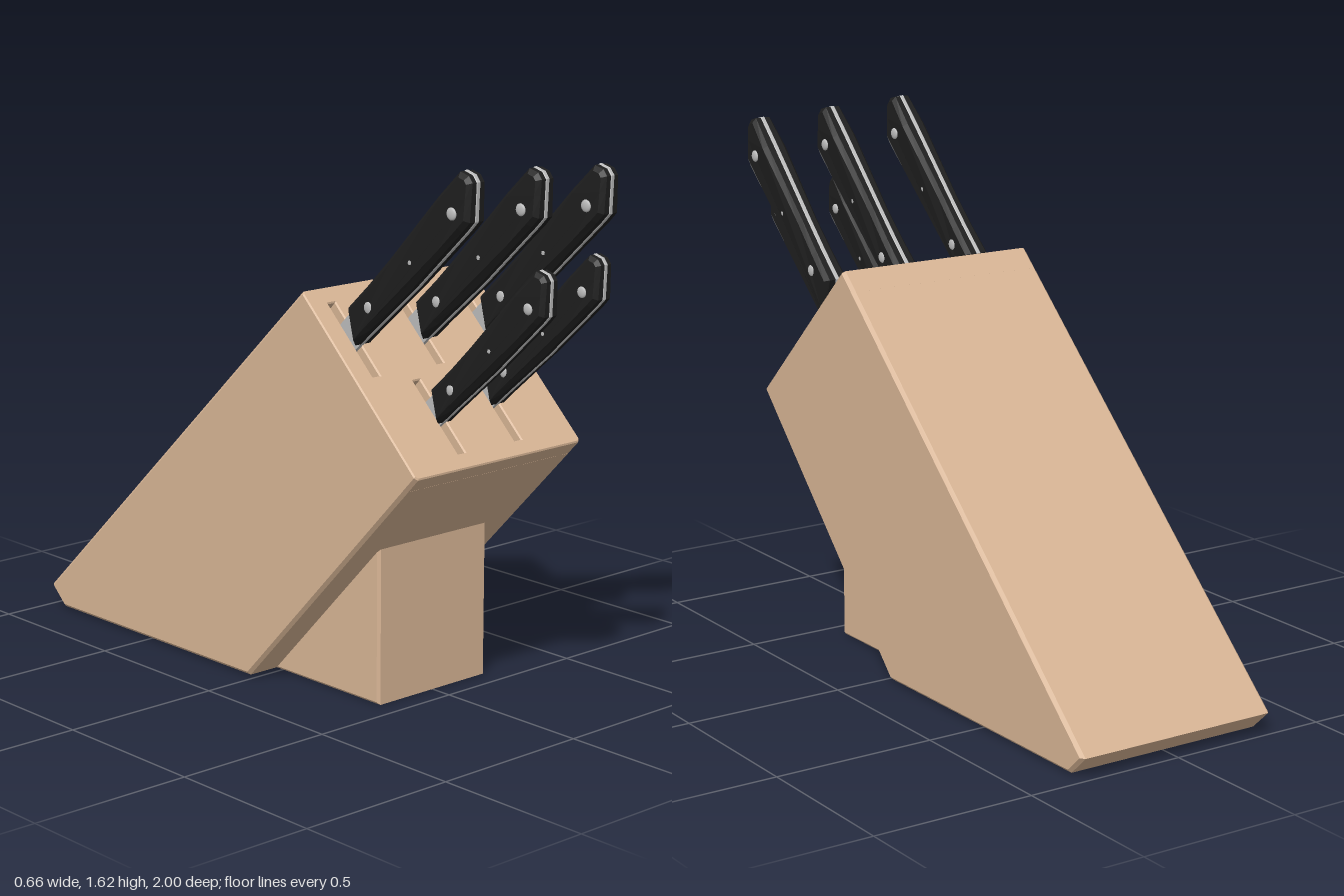
import * as THREE from 'three';

const wood = new THREE.MeshStandardMaterial({ color: 0xd8b595, name: 'wood' });
const black = new THREE.MeshStandardMaterial({ color: 0x1e1e1e, name: 'blackHandle' });
const steel = new THREE.MeshStandardMaterial({ color: 0xbdbdbd, name: 'steel' });

const toShape = pts => new THREE.Shape(pts.map(p => new THREE.Vector2(p[0], p[1])));

function addMesh(parent, name, geometry, material) {
  const m = new THREE.Mesh(geometry, material);
  m.name = name;
  parent.add(m);
  return m;
}

// Extrude a (z, y) profile across x, centred, with bevelled edges inside the outline
function across(pts, width, bevel, offset = -bevel) {
  const g = new THREE.ExtrudeGeometry(toShape(pts), {
    depth: width - 2 * bevel, bevelSize: bevel, bevelThickness: bevel, bevelOffset: offset, bevelSegments: 1,
  });
  g.translate(0, 0, -width / 2 + bevel);
  g.rotateY(-Math.PI / 2);
  return g;
}

// Slanted front face: lower edge, upper edge, tilt
const LOW = { z: 0.70, y: 0.75 }, HIGH = { z: 0.225, y: 1.21 };
const FACE_TILT = Math.atan2(HIGH.y - LOW.y, LOW.z - HIGH.z);
const FACE_LEN = Math.hypot(HIGH.y - LOW.y, LOW.z - HIGH.z);
const HALF = 0.33, BEVEL = 0.01;

// Front slab with real slots, in the plane of the slanted face
function slotSlab(slots) {
  const c = BEVEL, depth = 0.08, w = HALF, L = FACE_LEN;
  const shape = toShape([[-w + c, 0], [w - c, 0], [w, c], [w, L - c], [w - c, L], [-w + c, L], [-w, L - c], [-w, c]]);
  for (const [x, a, b] of slots) {
    const r = 0.013;
    shape.holes.push(new THREE.Path([[x - r, a], [x - r, b], [x + r, b], [x + r, a]].map(p => new THREE.Vector2(...p))));
  }
  const g = new THREE.ExtrudeGeometry(shape, {
    depth: depth - 0.004, bevelSize: 0.004, bevelThickness: 0.004, bevelOffset: -0.004, bevelSegments: 1,
  });
  g.translate(0, 0, -depth);
  // Lean the top edge to follow the sloping back
  const p = g.attributes.position;
  for (let i = 0; i < p.count; i++) {
    if (p.getY(i) > L - 0.03) p.setY(i, p.getY(i) - p.getZ(i) * 0.05);
  }
  g.computeVertexNormals();
  g.rotateX(-(Math.PI / 2 - FACE_TILT));
  g.translate(0, LOW.y, LOW.z);
  return g;
}

// Handle half-width along its length s
const halfWidth = s => {
  const k = (s - 1.021) / 0.68;
  return k > 0.85 ? 0.041 - (k - 0.85) * 0.05 : 0.038 + 0.003 * Math.cos(k / 0.85 * Math.PI * 2);
};

// Knife side outline: (distance along the knife, height)
const OUTLINE = [
  [1.021, -0.043], [1.10, -0.045], [1.21, -0.05], [1.324, -0.055], [1.48, -0.055], [1.59, -0.055], [1.627, -0.053],
  [1.671, -0.01], [1.704, 0.022], [1.706, 0.045], [1.689, 0.073], [1.58, 0.07], [1.45, 0.064], [1.30, 0.057],
  [1.18, 0.053], [1.069, 0.053],
];

function knife(x, t, size) {
  const k = new THREE.Group();
  k.name = 'knife';
  const handle = across(OUTLINE, 0.08, 0.013);
  const p = handle.attributes.position;
  for (let i = 0; i < p.count; i++) p.setX(i, p.getX(i) * halfWidth(p.getZ(i)) / 0.04);
  handle.computeVertexNormals();
  addMesh(k, 'handle', handle, black);
  addMesh(k, 'tang', across(OUTLINE, 0.014, 0.002, 0), steel);

  const blade = addMesh(k, 'blade', new THREE.BoxGeometry(0.014, 0.09, 0.15), steel);
  blade.position.set(0, 0.003, 1.02);

  for (const s of [1.148, 1.373, 1.598]) {
    for (const side of [-1, 1]) {
      const rivet = addMesh(k, 'rivet', new THREE.SphereGeometry(0.018, 16, 10), steel);
      rivet.scale.x = 0.35;
      rivet.position.set(side * (halfWidth(s) - 0.002), 0, s);
    }
  }
  k.scale.setScalar(size);
  k.position.set(x, t, 1.025 * (1 - size));
  return k;
}

export function createModel() {
  const model = new THREE.Group();
  model.name = 'knifeBlock';

  // Main block, cut back behind the slotted slab
  const cut = 0.06;
  addMesh(model, 'block', across([
    [-0.02, 0.004], [LOW.z - cut * 0.692, LOW.y - cut * 0.722], [HIGH.z - cut * 0.73, HIGH.y - cut * 0.683],
    [-1.0, 0.065], [-0.935, 0.004],
  ].reverse(), HALF * 2, BEVEL), wood);

  const upper = [0.345, 0.606], lower = [0.05, 0.306];
  addMesh(model, 'slottedFace', slotSlab([
    [-0.25, ...upper], [0, ...upper], [0.245, ...upper], [-0.12, ...lower], [0.105, ...lower],
  ]), wood);

  // Support foot under the overhang
  addMesh(model, 'foot', across([[-0.03, 0], [0.43, 0], [0.43, 0.48], [0.35, 0.48], [-0.03, 0.1]], 0.435, 0.008), wood);

  // Knives, all pointing along the slope of the back
  const knives = new THREE.Group();
  knives.name = 'knives';
  knives.rotation.x = -Math.atan2(0.683, 0.73);
  for (const [x, t, size] of [
    [-0.25, 0.557, 1], [0, 0.536, 1], [0.245, 0.515, 1], [-0.12, 0.262, 0.9], [0.105, 0.282, 0.9],
  ]) knives.add(knife(x, t, size));
  model.add(knives);

  return model;
}
